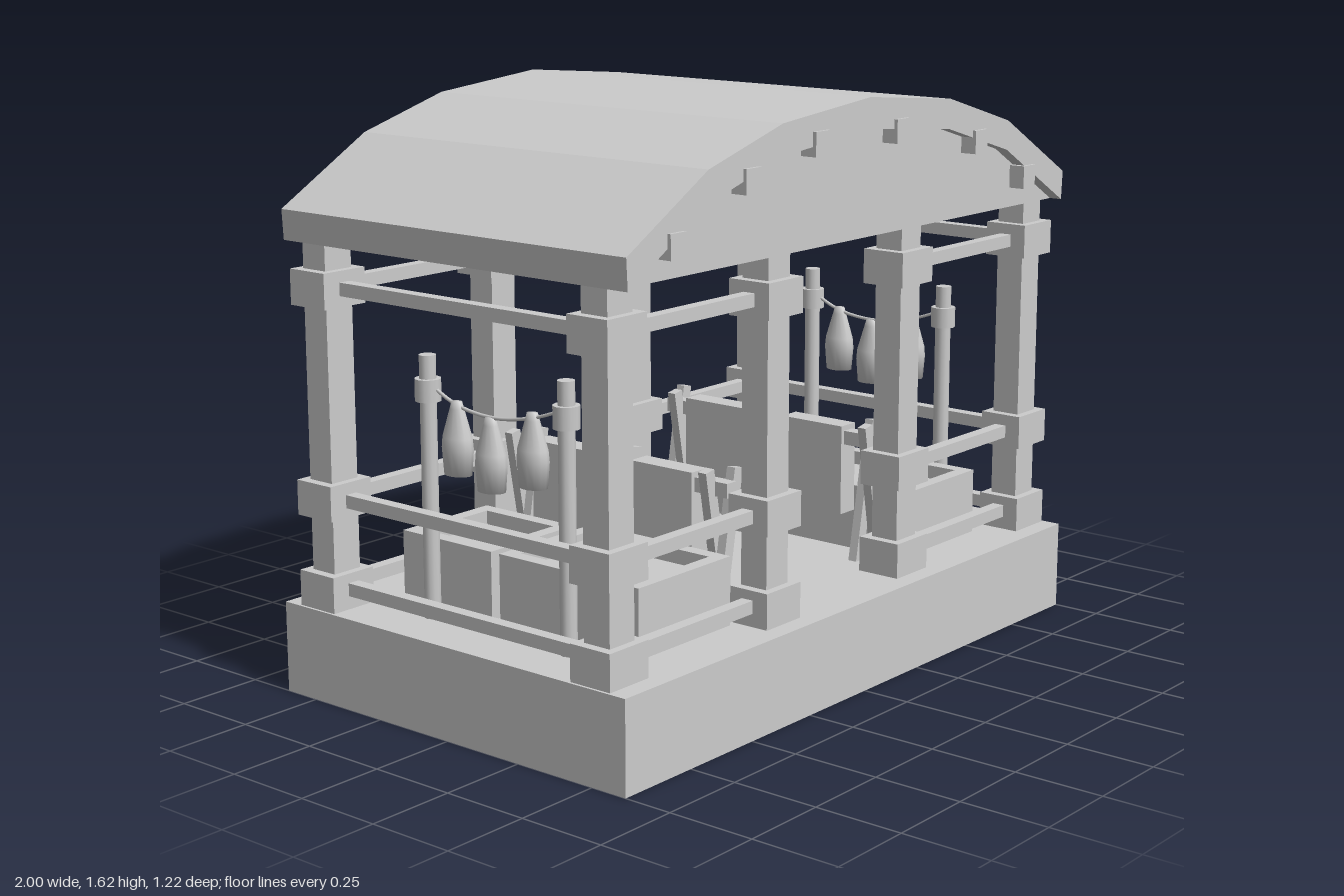
import * as THREE from 'three';

export function createModel() {
  const model = new THREE.Group();
  const mat = new THREE.MeshStandardMaterial({ color: 0xcccccc, flatShading: true });
  const smooth = new THREE.MeshStandardMaterial({ color: 0xcccccc });
  const open = new THREE.MeshStandardMaterial({ color: 0xcccccc, flatShading: true, side: THREE.DoubleSide });

  const add = (name, geometry, x = 0, y = 0, z = 0, material = mat) => {
    const mesh = new THREE.Mesh(geometry, material);
    mesh.name = name;
    mesh.position.set(x, y, z);
    model.add(mesh);
    return mesh;
  };
  const box = (name, w, h, d, x, y, z) => add(name, new THREE.BoxGeometry(w, h, d), x, y, z);
  // Box given by its lower and upper corners
  const span = (name, x0, x1, y0, y1, z0, z1) =>
    box(name, Math.abs(x1 - x0), y1 - y0, z1 - z0, (x0 + x1) / 2, (y0 + y1) / 2, (z0 + z1) / 2);
  const extrude = (points, depth) => new THREE.ExtrudeGeometry(
    new THREE.Shape(points.map(p => new THREE.Vector2(...p))), { depth, bevelEnabled: false });

  // Platform: a shell without a bottom
  const base = new THREE.BoxGeometry(2, 0.255, 1.22);
  const index = Array.from(base.index.array);
  index.splice(18, 6);
  base.setIndex(index);
  base.clearGroups();
  add('platform', base, 0, 0.1275, 0, open);

  // Arched roof, gables and purlins
  const half = [[0.975, 1.33], [0.67, 1.505], [0.375, 1.59]];
  const outer = [...half.map(([x, y]) => [-x, y]), [0, 1.625], ...half.slice().reverse()];
  const inner = outer.map(([x, y]) => [x * 0.995, y - 0.083]);
  add('roof', extrude([...outer, ...inner.slice().reverse()], 1.2), 0, 0, -0.6);
  for (const s of [-1, 1]) add('gable', extrude(inner, 0.025), 0, 0, s * 0.55 - 0.0125);
  for (const [x, y] of [[-0.795, 1.335], [-0.505, 1.46], [-0.22, 1.525], [0.14, 1.525], [0.52, 1.46], [0.775, 1.335]])
    box('purlin', 0.06, 0.065, 1.22, x, y, 0);

  // Posts with collars, and the rails between them
  const railHeights = [0.31, 0.555, 1.13];
  for (const sx of [-1, 1]) {
    for (const sz of [-1, 1]) {
      for (const x of [0.92, 0.298]) {
        span('post', sx * x - 0.046, sx * x + 0.046, 0.25, 1.26, sz * 0.49 - 0.042, sz * 0.49 + 0.042);
        for (const [y, h] of [[0.302, 0.105], [0.557, 0.097], [1.13, 0.097]])
          box('collar', 0.145, h, 0.13, sx * x, y, sz * 0.49);
      }
      for (const y of railHeights) box('frontRail', 0.62, 0.036, 0.036, sx * 0.61, y, sz * 0.49);
    }
    for (const y of railHeights) box('sideRail', 0.036, 0.036, 0.98, sx * 0.92, y, 0);
  }

  // Hanging line: two poles, a sagging rope and three pots
  const potProfile = [[0, 0], [0.042, 0], [0.048, 0.07], [0.045, 0.1], [0.022, 0.175], [0.016, 0.195], [0, 0.197]]
    .map(p => new THREE.Vector2(...p));
  const hangingLine = s => {
    const x = s * 0.84;
    for (const z of [0.283, -0.205]) {
      add('pole', new THREE.CylinderGeometry(0.023, 0.023, 0.85, 12), x, 0.545, z, smooth);
      add('poleRing', new THREE.CylinderGeometry(0.036, 0.036, 0.06, 12), x, 0.877, z, smooth);
    }
    const rope = new THREE.CatmullRomCurve3([[0.283, 0.895], [0.165, 0.855], [0.03, 0.835], [-0.1, 0.85], [-0.205, 0.895]]
      .map(([z, y]) => new THREE.Vector3(x, y, z)));
    add('rope', new THREE.TubeGeometry(rope, 20, 0.005, 6), 0, 0, 0, smooth);
    for (const [z, y] of [[0.167, 0.675], [0.02, 0.64], [-0.1, 0.665]])
      add('hangingPot', new THREE.LatheGeometry(potProfile, 14), x, y, z, smooth).scale.x = 0.75;
  };

  // Crate with a raised rim around a sunken top
  const crate = (s, x0, x1, z0, z1) => {
    const t = 0.04, top = 0.445;
    span('crateFill', s * (x0 + t), s * (x1 - t), 0.25, top - 0.04, z0 + t, z1 - t);
    for (const [a, b] of [[x0, x0 + t], [x1 - t, x1]]) span('crateSide', s * a, s * b, 0.25, top, z0, z1);
    for (const [a, b] of [[z0, z0 + t], [z1 - t, z1]]) span('crateEnd', s * (x0 + t), s * (x1 - t), 0.25, top, a, b);
  };

  // Drying rack: crossed legs, a bar and two draped hides
  const rack = s => {
    const x = s * 0.337;
    for (const z of [0.372, 0.018, -0.328])
      for (const t of [-1, 1])
        box('rackLeg', 0.035, 0.46, 0.027, x, 0.43, z + t * 0.016).rotation.z = t * s * 0.18;
    box('rackBar', 0.04, 0.04, 0.77, x, 0.605, 0.025);
    for (const [z0, z1] of [[0.087, 0.3], [-0.275, -0.04]])
      span('drapedHide', x - 0.033, x + 0.033, 0.38, 0.64, z0, z1);
  };

  for (const s of [-1, 1]) {
    hangingLine(s);
    crate(s, 0.395, 0.765, -0.03, 0.452);
    crate(s, 0.44, 0.765, -0.39, -0.06);
    rack(s);
  }
  return model;
}
